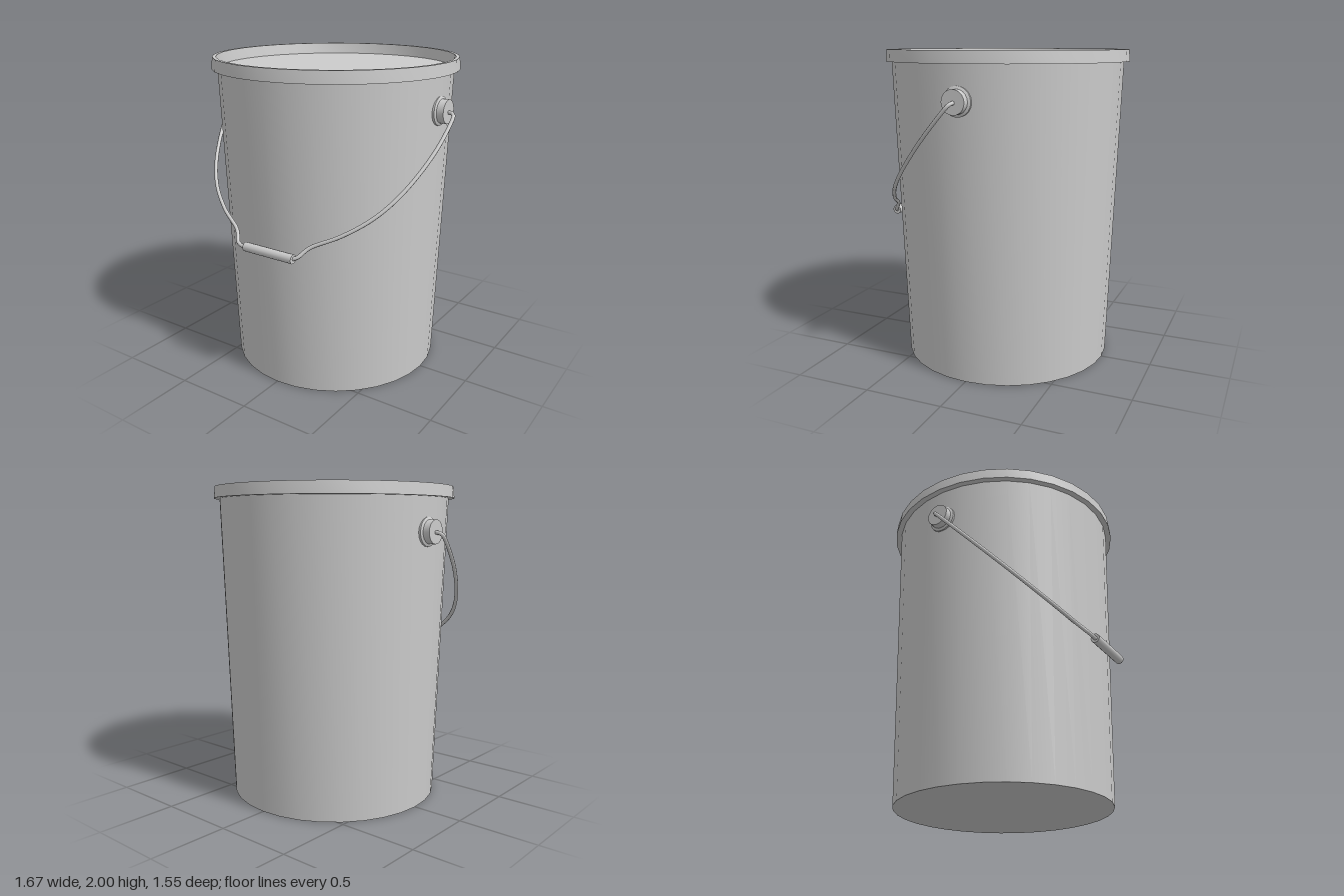
import * as THREE from 'three';
import { toCreasedNormals } from 'three/addons/utils/BufferGeometryUtils.js';

const material = new THREE.MeshStandardMaterial({ color: 0xcccccc });

// Revolved part with sharp corners and smooth sides
function lathe(name, profile, sides) {
  const points = profile.map(([r, y]) => new THREE.Vector2(r, y));
  const geometry = toCreasedNormals(new THREE.LatheGeometry(points, sides), 0.5);
  const mesh = new THREE.Mesh(geometry, material);
  mesh.name = name;
  return mesh;
}

export function createModel() {
  const bucket = new THREE.Group();
  bucket.name = 'bucket';

  // Tapered body with a closed base
  bucket.add(lathe('body', [[0, 0], [0.675, 0], [0.738, 1.94]], 32));

  // Recessed lid with a raised rim and overhanging skirt
  bucket.add(lathe('lid', [
    [0.737, 1.927], [0.774, 1.927], [0.767, 2], [0.745, 2], [0.732, 1.93], [0, 1.93],
  ], 32));

  // Handle mounts: flange against the wall and a round boss
  for (const side of [1, -1]) {
    const mount = lathe(side > 0 ? 'leftMount' : 'rightMount', [
      [0, 0.69], [0.088, 0.69], [0.088, 0.735], [0.072, 0.742], [0.072, 0.785], [0, 0.785],
    ], 20);
    mount.rotation.z = -side * Math.PI / 2;
    mount.position.y = 1.72;
    bucket.add(mount);
  }

  // Handle lies in a tilted plane: local y is height below the pivots
  const tilted = (x, drop) => new THREE.Vector3(x, 1.715 - drop, drop * 0.935);
  const half = [
    [0.765, 0], [0.805, 0], [0.822, 0.012], [0.825, 0.04], [0.795, 0.21], [0.7, 0.415],
    [0.59, 0.545], [0.44, 0.65], [0.28, 0.728], [0.25, 0.755], [0.225, 0.785], [0.19, 0.797],
  ];
  const path = [
    ...half.map(([x, d]) => tilted(x, d)),
    ...half.slice().reverse().map(([x, d]) => tilted(-x, d)),
  ];
  const wire = new THREE.Mesh(
    new THREE.TubeGeometry(new THREE.CatmullRomCurve3(path), 140, 0.012, 8), material);
  wire.name = 'handleWire';
  bucket.add(wire);

  // Grip around the lowest stretch of the wire
  const grip = new THREE.Mesh(new THREE.CylinderGeometry(0.029, 0.029, 0.36, 12), material);
  grip.name = 'handleGrip';
  grip.rotation.z = Math.PI / 2;
  grip.position.copy(tilted(0.022, 0.797));
  bucket.add(grip);

  return bucket;
}
